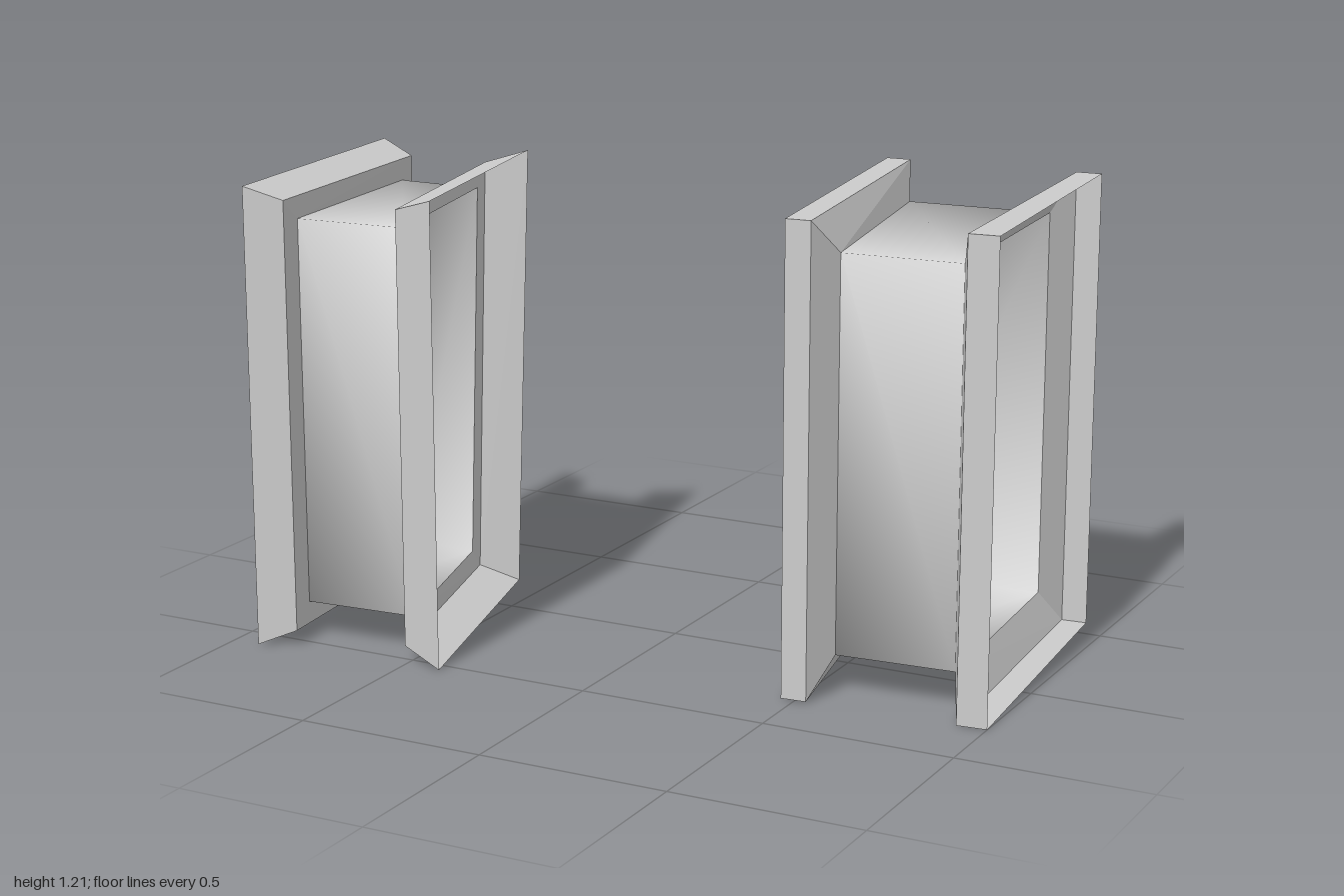
import * as THREE from 'three';

const material = () => new THREE.MeshStandardMaterial({ color: 0xcccccc, side: THREE.DoubleSide });

// Four-corner loop: front edge and back edge given as [x, z]; the back edge may lean in x at its foot.
const loop = (front, back, y0, y1, lean = 0) => [
  [front[0], y0, front[1]],
  [back[0] - lean, y0, back[1]],
  [back[0], y1, back[1]],
  [front[0], y1, front[1]],
];

// Skin a series of loops ordered from low x to high x.
function skin(name, loops, smooth) {
  let geometry = new THREE.BufferGeometry();
  geometry.setAttribute('position', new THREE.Float32BufferAttribute(loops.flat(2), 3));
  const index = [];
  for (let k = 0; k < loops.length - 1; k++) {
    for (let i = 0; i < 4; i++) {
      const j = (i + 1) % 4;
      const a = k * 4, b = a + 4;
      index.push(a + i, a + j, b + j, a + i, b + j, b + i);
    }
  }
  geometry.setIndex(index);
  if (!smooth) geometry = geometry.toNonIndexed();
  geometry.computeVertexNormals();
  const mesh = new THREE.Mesh(geometry, material());
  mesh.name = name;
  return mesh;
}

// A rectangular tunnel with a recessed frame at each end.
function framedTunnel(name, low, high) {
  const group = new THREE.Group();
  group.name = name;
  group.add(
    skin('rightFrame', low, false),
    skin('tunnel', [low[2], high[0]], true),
    skin('leftFrame', high, false),
  );
  return group;
}

export function createModel() {
  const model = new THREE.Group();
  model.name = 'framedTunnels';
  const H = 1.213, h0 = 0.1, h1 = 1.12;
  const lean = 0.045;

  // Frames with tapered walls and a flat flange
  model.add(framedTunnel('rightTunnel', [
    loop([-0.925, 0.58], [-1, -0.195], 0, H),
    loop([-0.83, 0.54], [-0.895, -0.165], 0.04, 1.178),
    loop([-0.834, 0.473], [-0.89, -0.108], h0, h1),
  ], [
    loop([-0.53, 0.452], [-0.651, -0.105], h0, h1, 0.035),
    loop([-0.515, 0.512], [-0.665, -0.17], 0.04, 1.178, 0.037),
    loop([-0.4, 0.535], [-0.555, -0.21], 0, H, lean),
  ]));

  // Frames with straight walls and a sloping flange
  model.add(framedTunnel('leftTunnel', [
    loop([0.467, 0.33], [0.345, -0.55], 0.004, H, lean),
    loop([0.533, 0.325], [0.41, -0.553], 0.004, H, lean),
    loop([0.565, 0.223], [0.45, -0.46], h0, h1, 0.035),
  ], [
    loop([0.878, 0.202], [0.83, -0.483], h0, h1),
    loop([0.922, 0.297], [0.863, -0.58], 0, H),
    loop([1, 0.29], [0.93, -0.585], 0, H),
  ]));

  return model;
}
